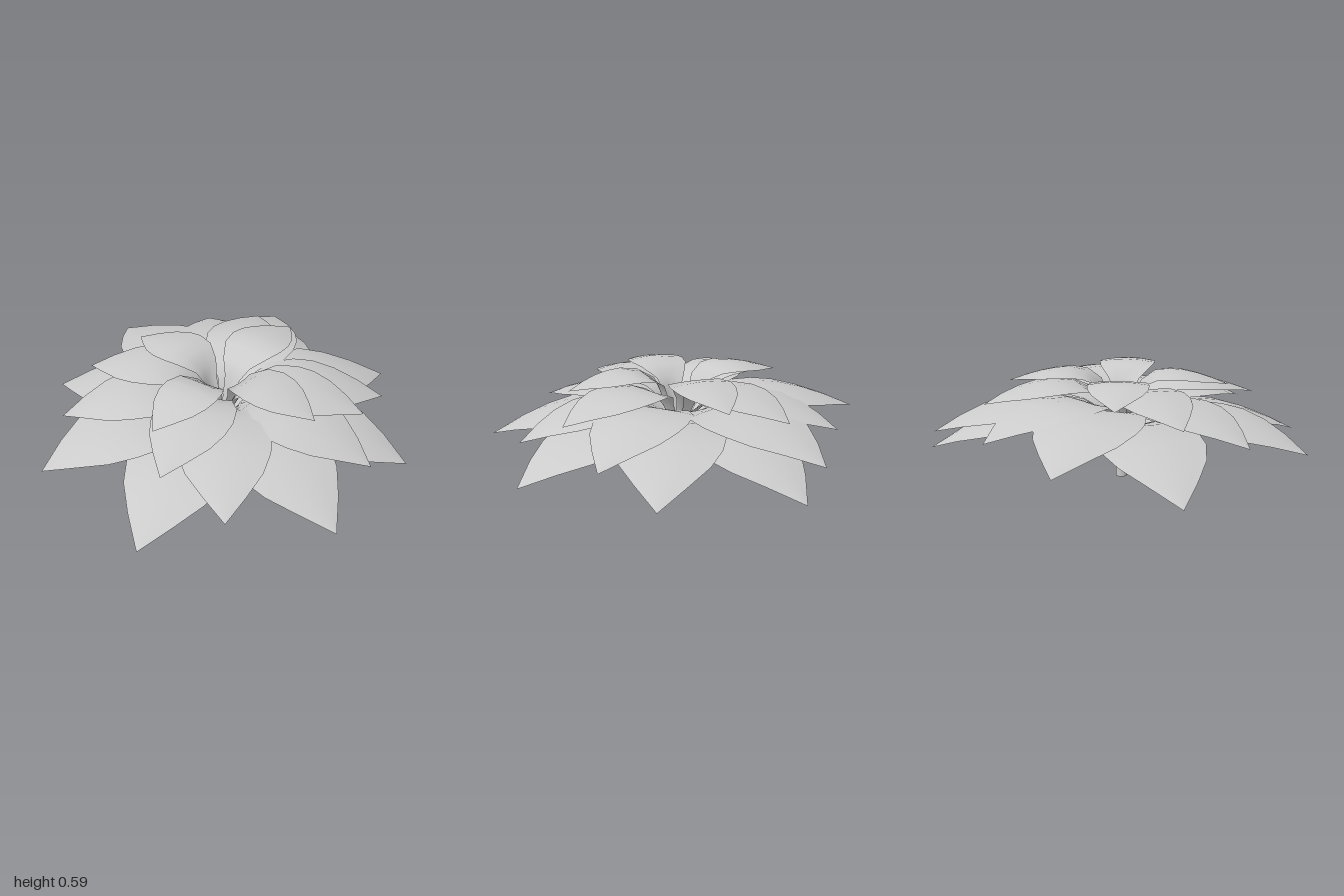
import * as THREE from 'three';

// Leaf tips by tier: [x, y, z]
const tiers = {
  topLeaf: [[0.57, 0.52, 0.14], [-0.07, 0.51, 0.56], [-0.57, 0.52, -0.1], [0.12, 0.52, -0.59]],
  upperLeaf: [[-0.14, 0.46, -0.71], [0.73, 0.44, -0.12], [0.08, 0.43, 0.74], [-0.7, 0.46, 0.19]],
  middleLeaf: [[0.86, 0.32, 0.1], [-0.47, 0.36, -0.7], [0.73, 0.33, -0.46], [-0.66, 0.35, 0.51],
    [0.42, 0.32, 0.76], [-0.88, 0.33, -0.4], [-0.14, 0.33, -0.96]],
  lowerLeaf: [[-0.55, 0.27, 0.83], [0.85, 0.24, 0.51], [0.63, 0.25, -0.78], [0.1, 0.2, 0.99],
    [0.98, 0.2, -0.14], [0, 0.2, -1], [-0.98, 0.21, 0.14]],
};

// One leaf: a channelled stem that rises, spreads into a blade and droops to a point
function leafGeometry([x, tipY, z]) {
  const R = Math.hypot(x, z), dx = x / R, dz = z / R;
  const peak = 0.38 + (tipY - 0.2) * 0.65, drop = peak - tipY;
  const wide = 0.265 * R;
  // rows: [radius, height, half width, edge lift relative to half width]
  const rows = [
    [0.03, 0, 0.022, 0.6],
    [0.03, peak * 0.3, 0.022, 0.6],
    [0.045, peak * 0.55, 0.025, 0.6],
    [0.07 + 0.04 * R, peak * 0.75, 0.04 + wide * 0.05, 0.35],
    [0.2 * R, peak * 0.88, wide * 0.55, 0.1],
    [0.32 * R, peak * 0.97, wide * 0.88, -0.04],
    [0.47 * R, peak, wide, -0.1],
    [0.6 * R, peak - drop * 0.09, wide * 0.96, -0.1],
    [0.73 * R, peak - drop * 0.3, wide * 0.78, -0.1],
    [0.86 * R, peak - drop * 0.6, wide * 0.44, -0.08],
    [R, tipY, 0, 0],
  ];
  const across = [-1, -0.5, 0, 0.5, 1];
  const n = across.length, pos = [], index = [];
  rows.forEach(([r, y, w, lift], i) => {
    const a = rows[Math.max(i - 1, 0)], b = rows[Math.min(i + 1, rows.length - 1)];
    const len = Math.hypot(b[0] - a[0], b[1] - a[1]);
    const nr = -(b[1] - a[1]) / len, ny = (b[0] - a[0]) / len;
    across.forEach((s, j) => {
      const h = s * s * lift * w, rr = r + nr * h;
      pos.push(dx * rr + dz * s * w, y + ny * h, dz * rr - dx * s * w);
      if (i < rows.length - 1 && j < n - 1) {
        const k = i * n + j;
        index.push(k, k + n, k + 1);
        if (i < rows.length - 2) index.push(k + 1, k + n, k + n + 1);
      }
    });
  });
  const g = new THREE.BufferGeometry();
  g.setAttribute('position', new THREE.Float32BufferAttribute(pos, 3));
  g.setIndex(index);
  g.computeVertexNormals();
  return g;
}

export function createModel() {
  const plant = new THREE.Group();
  plant.name = 'leafyPlant';
  const material = new THREE.MeshStandardMaterial({ color: 0xcccccc, side: THREE.DoubleSide });
  for (const [name, tips] of Object.entries(tiers)) {
    const tier = new THREE.Group();
    tier.name = name + 'Tier';
    tips.forEach((tip, i) => {
      const leaf = new THREE.Mesh(leafGeometry(tip), material);
      leaf.name = name + (i + 1);
      tier.add(leaf);
    });
    plant.add(tier);
  }
  return plant;
}
